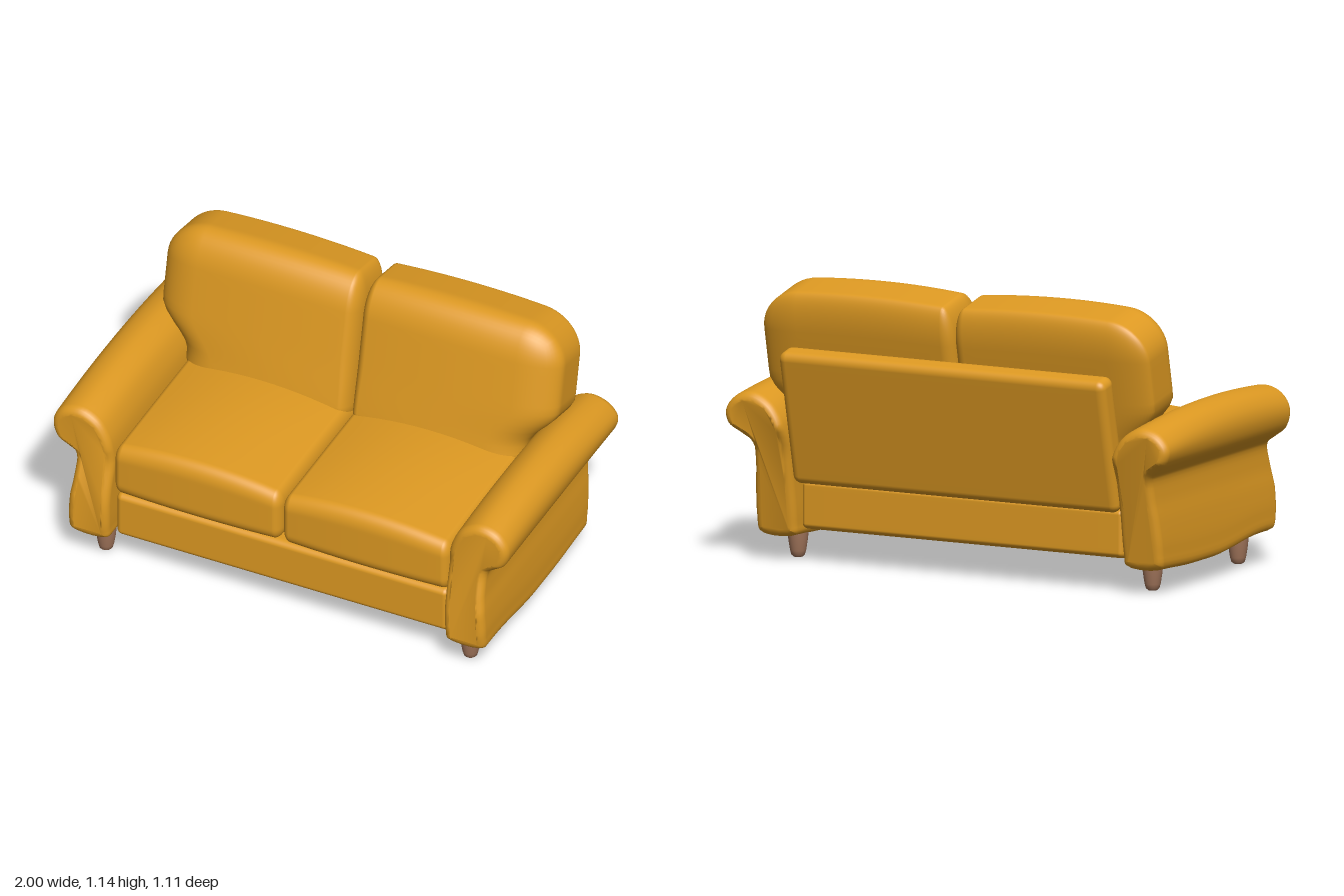
import * as THREE from 'three';
import { mergeVertices } from 'three/addons/utils/BufferGeometryUtils.js';

const { smoothstep, lerp } = THREE.MathUtils;

// Weld a geometry, move its vertices by a rule and smooth the normals
function reshape(geo, rule) {
  geo.deleteAttribute('uv');
  geo.deleteAttribute('normal');
  const out = mergeVertices(geo, 1e-4);
  const p = out.attributes.position;
  const v = new THREE.Vector3();
  for (let i = 0; i < p.count; i++) {
    v.fromBufferAttribute(p, i);
    rule(v);
    p.setXYZ(i, v.x, v.y, v.z);
  }
  out.computeVertexNormals();
  return out;
}

// Rounded box between lo and hi; radii per axis are [low side, high side]
function softBox(lo, hi, radii, rule = () => {}) {
  const place = (t, a) => {
    const [r0, r1] = radii[a];
    const inner = lerp(lo[a] + r0, hi[a] - r1, (THREE.MathUtils.clamp(t / 0.5, -1, 1) + 1) / 2);
    const dir = Math.sign(t) * Math.tan(Math.max(0, Math.abs(t) - 0.5) * Math.PI / 2);
    return { inner, dir, r: t < 0 ? r0 : r1 };
  };
  return reshape(new THREE.BoxGeometry(2, 2, 2, 24, 24, 24), (v) => {
    const c = [place(v.x, 0), place(v.y, 1), place(v.z, 2)];
    const len = Math.hypot(...c.map((k) => k.dir));
    v.set(...c.map((k) => k.inner + (k.dir / len) * k.r));
    rule(v);
  });
}

// Copy of an indexed geometry on the other side of x = 0
function mirrored(geo) {
  const out = geo.clone().scale(-1, 1, 1);
  const ix = out.index.array;
  for (let i = 0; i < ix.length; i += 3) [ix[i], ix[i + 1]] = [ix[i + 1], ix[i]];
  out.computeVertexNormals();
  return out;
}

// Piecewise-linear lookup through [key, value] stops
function along(stops, k) {
  if (k <= stops[0][0]) return stops[0][1];
  for (let i = 1; i < stops.length; i++) {
    const [k0, a] = stops[i - 1], [k1, b] = stops[i];
    if (k <= k1) return lerp(a, b, (k - k0) / (k1 - k0));
  }
  return stops[stops.length - 1][1];
}

// Scroll arm: one outline swept front to back, ends shaped by height
function armGeometry() {
  const outline = [
    [0.745, 0.112], [0.738, 0.16], [0.737, 0.35], [0.737, 0.52], [0.757, 0.62], [0.80, 0.695], [0.875, 0.733],
    [0.95, 0.716], [0.99, 0.67], [1.0, 0.615], [0.98, 0.55], [0.935, 0.512], [0.904, 0.485],
    [0.90, 0.40], [0.91, 0.30], [0.915, 0.18], [0.905, 0.112],
  ].map(([x, y]) => new THREE.Vector3(x, y, 0));
  const loop = new THREE.CatmullRomCurve3(outline, true, 'centripetal').getPoints(80).slice(0, -1);
  const shape = new THREE.Shape(loop.map((p) => new THREE.Vector2(p.x, p.y)));
  const geo = new THREE.ExtrudeGeometry(shape, {
    depth: 0.97, steps: 16, bevelEnabled: true, bevelThickness: 0.035,
    bevelSize: 0.03, bevelOffset: -0.03, bevelSegments: 5,
  });
  geo.translate(0, 0, -0.485);
  const front = [[0.11, 0.545], [0.18, 0.557], [0.3, 0.557], [0.38, 0.54], [0.46, 0.515], [0.5, 0.507], [0.55, 0.52]];
  const back = [[0.11, -0.405], [0.3, -0.435], [0.46, -0.465], [0.5, -0.485], [0.56, -0.52]];
  return reshape(geo, (v) => {
    v.z = lerp(along(back, v.y), along(front, v.y), (v.z / 0.52 + 1) / 2);
    const low = 1 - smoothstep(v.y, 0.12, 0.4);
    const high = smoothstep(v.y, 0.52, 0.72);
    v.y += low * (lerp(-0.012, 0.024, smoothstep(v.z, 0.05, 0.45)) + 0.012 * smoothstep(-v.z, 0.1, 0.4));
    v.y -= high * 0.035 * ((v.z - 0.12) / 0.55) ** 2;
  });
}

// Seat cushion with a crowned top and a slightly bulging front
function seatGeometry() {
  return softBox([0.002, 0.337, -0.34], [0.738, 0.565, 0.508],
    [[0.035, 0.035], [0.06, 0.06], [0.05, 0.05]], (v) => {
      const u = (v.x - 0.37) / 0.37, w = (v.z - 0.08) / 0.44;
      const crown = Math.max(0, 1 - u * u);
      v.y += crown * smoothstep(v.y, 0.4, 0.56) * (0.035 + 0.022 * Math.max(0, 1 - w * w));
      v.z += 0.012 * crown * smoothstep(v.z, 0.2, 0.5);
    });
}

// Back cushion, upright around its own centre, cut in where it passes the arm
function backCushionGeometry() {
  return softBox([0.002, -0.33, -0.145], [0.87, 0.315, 0.13],
    [[0.05, 0.17], [0.08, 0.15], [0.05, 0.09]], (v) => {
      const u = (v.x - 0.42) / 0.45;
      const crown = Math.max(0, 1 - u * u);
      v.y += 0.022 * crown * smoothstep(v.y, 0, 0.3);
      v.z += 0.025 * crown * smoothstep(v.z, 0, 0.12);
      v.x *= lerp(0.855, 1, smoothstep(v.y, -0.22, -0.03));
    });
}

export function createModel() {
  const model = new THREE.Group();
  model.name = 'sofa';
  const fabric = new THREE.MeshStandardMaterial({ color: 0xdd9922 });
  fabric.name = 'mustard upholstery';
  const wood = new THREE.MeshStandardMaterial({ color: 0xa0745a });
  wood.name = 'brown wood';

  const add = (name, geo, mat, x = 0, y = 0, z = 0, tilt = 0) => {
    const mesh = new THREE.Mesh(geo, mat);
    mesh.name = name;
    mesh.position.set(x, y, z);
    mesh.rotation.x = tilt;
    model.add(mesh);
  };
  const pair = (name, geo, ...rest) => {
    add('left' + name, geo, fabric, ...rest);
    add('right' + name, mirrored(geo), fabric, ...rest);
  };

  // Base and leaning rear panel
  add('base', softBox([-0.73, 0.132, -0.38], [0.73, 0.335, 0.495],
    [[0.025, 0.025], [0.025, 0.025], [0.04, 0.03]]), fabric);
  add('backPanel', softBox([-0.735, -0.285, -0.055], [0.735, 0.275, 0.05],
    [[0.035, 0.035], [0.035, 0.035], [0.03, 0.04]]), fabric, 0, 0.61, -0.448, -0.23);

  // Arms and cushions
  pair('Arm', armGeometry());
  pair('SeatCushion', seatGeometry());
  pair('BackCushion', backCushionGeometry(), 0, 0.8, -0.285, -0.215);

  // Tapered legs with rounded feet
  const profile = [[0, 0.003], [0.018, 0.004], [0.027, 0.012], [0.032, 0.03], [0.039, 0.075], [0.043, 0.12], [0.043, 0.16]];
  const leg = new THREE.LatheGeometry(profile.map(([r, y]) => new THREE.Vector2(r, y)), 24);
  leg.translate(0, -0.003, 0);
  for (const x of [0.8, -0.8]) {
    add('frontLeg', leg, wood, x, 0, 0.432);
    add('rearLeg', leg, wood, x, 0, -0.267);
  }
  return model;
}
